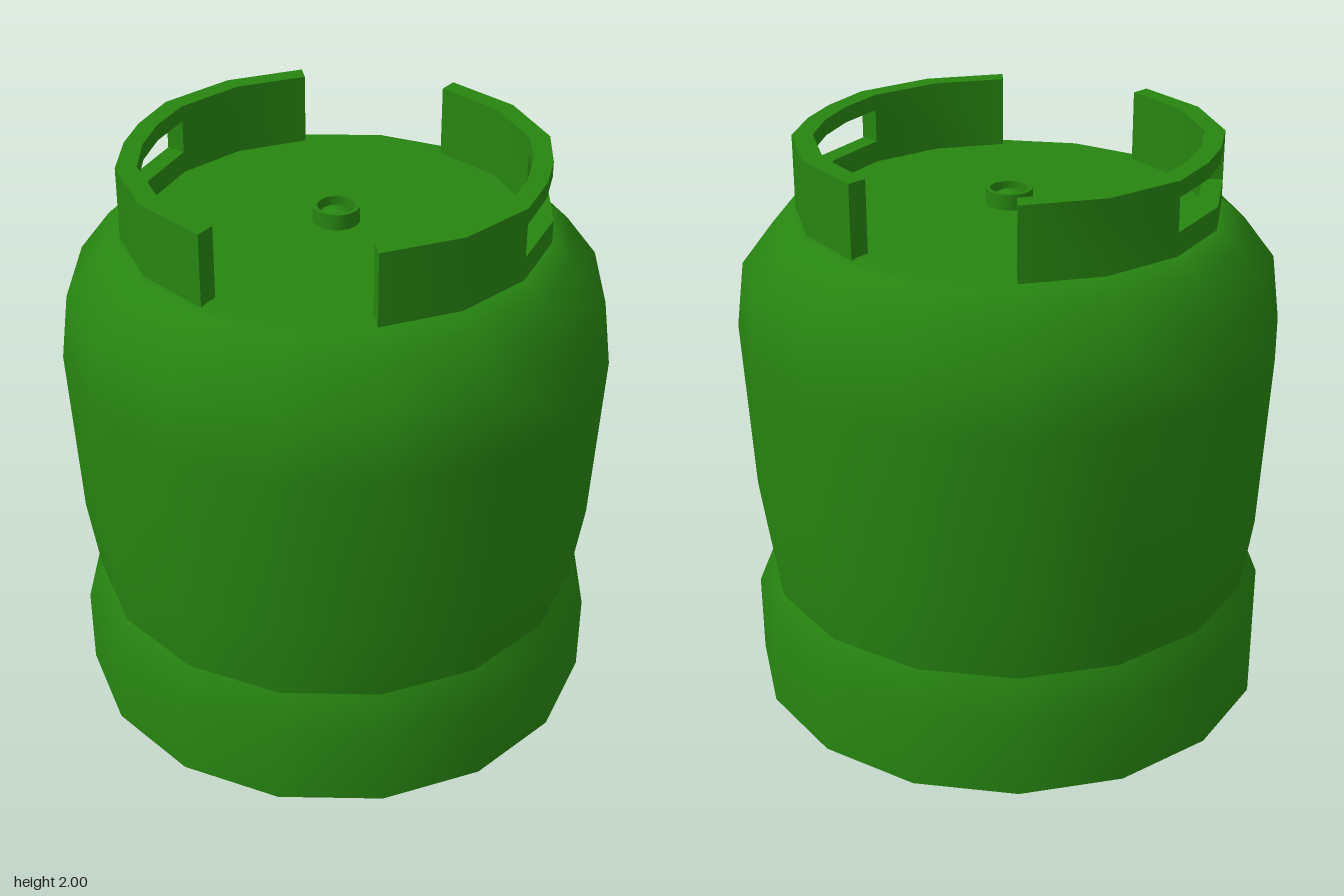
import * as THREE from 'three';
import { mergeGeometries, toCreasedNormals } from 'three/addons/utils/BufferGeometryUtils.js';

const SIDES = 16;

export function createModel() {
  const green = new THREE.MeshStandardMaterial({ color: 0x278511 });
  green.name = 'green paint';
  const model = new THREE.Group();
  model.name = 'gasCylinder';

  const add = (name, geometry, parent = model) => {
    const mesh = new THREE.Mesh(geometry, green);
    mesh.name = name;
    parent.add(mesh);
    return mesh;
  };
  // Profile of [radius, height] pairs, running upward on the outside
  const lathe = (name, profile, parent) =>
    add(name, new THREE.LatheGeometry(profile.map(([r, y]) => new THREE.Vector2(r, y)), SIDES), parent);

  // Tank wall with rounded shoulder and flat top
  lathe('tank', [[0.87, 0.425], [0.91, 0.7], [0.94, 1.32], [0.91, 1.55],
    [0.8, 1.695], [0.75, 1.735], [0.7, 1.755], [0, 1.755]]);

  // Foot ring and recessed underside
  lathe('footRing', [[0.925, 0], [0.925, 0.29], [0.87, 0.425]]);
  lathe('footRim', [[0.9, 0], [0.925, 0]]);
  lathe('footInnerWall', [[0.77, 0.07], [0.9, 0]]);
  lathe('underside', [[0, 0.07], [0.77, 0.07]]);

  // Valve: short ring around a low dome
  const valve = new THREE.Group();
  valve.name = 'valve';
  model.add(valve);
  lathe('valveSide', [[0.08, 1.75], [0.08, 1.81]], valve);
  lathe('valveRim', [[0.08, 1.81], [0.065, 1.81]], valve);
  lathe('valveBore', [[0.065, 1.81], [0.065, 1.765]], valve);
  lathe('valveDome', [[0.065, 1.765], [0.055, 1.783], [0.032, 1.796], [0, 1.802]], valve);

  // Collar: plan outlines as [x, z], extruded between two heights
  const slab = (outer, inner, bottom, top) => {
    const outline = [...outer, ...inner.slice().reverse()];
    const shape = new THREE.Shape(outline.map(([x, z]) => new THREE.Vector2(x, -z)));
    return new THREE.ExtrudeGeometry(shape, { depth: top - bottom, bevelEnabled: false })
      .rotateX(-Math.PI / 2).translate(0, bottom, 0);
  };
  const arc = (radius, steps) => steps.map((s) => {
    const a = s * Math.PI * 2 / SIDES;
    return [radius * Math.cos(a), radius * Math.sin(a)];
  });
  const bend = (radius, x) => {
    const [first, last] = arc(radius, [-1, 1]);
    return [first, [x, -0.08], [x, 0.08], last];
  };
  const R = 0.72, r = 0.65;
  const collar = toCreasedNormals(mergeGeometries([
    slab(arc(R, [1, 2, 3]), arc(r, [1, 2, 3]), 1.75, 2),
    slab(arc(R, [-3, -2, -1]), arc(r, [-3, -2, -1]), 1.75, 2),
    slab(arc(R, [-1, 0, 1]), arc(r, [-1, 0, 1]), 1.75, 1.83),
    slab(bend(R, 0.7), bend(r, 0.635), 1.945, 2),
  ]), Math.PI / 6);
  add('leftCollar', collar);
  add('rightCollar', collar).rotation.y = Math.PI;

  return model;
}
